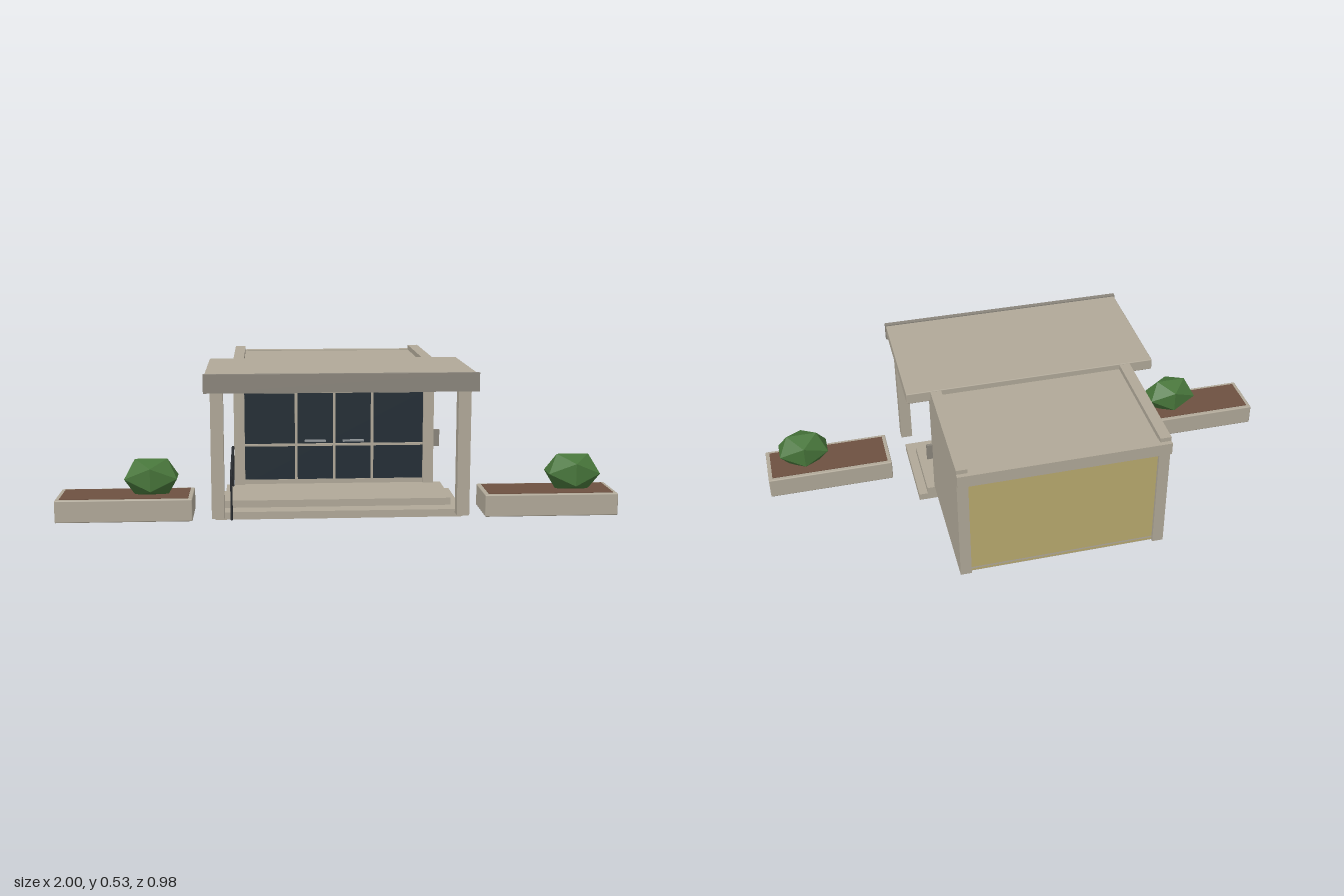
import * as THREE from 'three';
import { RoundedBoxGeometry } from 'three/addons/geometries/RoundedBoxGeometry.js';

const material = (name, color, extra = {}) => {
  const m = new THREE.MeshStandardMaterial({ color, ...extra });
  m.name = name;
  return m;
};

export function createModel() {
  const wall = material('warm stone', 0xb0a898);
  const trim = material('grey trim', 0x8a857b);
  const glass = material('dark glass', 0x222d35);
  const ochre = material('ochre panel', 0xb8a96e);
  const metal = material('dark metal', 0x2a2d31);
  const steel = material('steel', 0x8b9093);
  const soil = material('soil', 0x6d5040);
  const leaf = material('leaf green', 0x47753a, { flatShading: true });

  const model = new THREE.Group();
  model.name = 'pavilion';

  const add = (name, geometry, mat, parent = model) => {
    const mesh = new THREE.Mesh(geometry, mat);
    mesh.name = name;
    parent.add(mesh);
    return mesh;
  };
  // Box given by its limits on each axis; a radius rounds the edges
  const box = (name, [x0, x1], [y0, y1], [z0, z1], mat, parent, radius = 0) => {
    const size = [x1 - x0, y1 - y0, z1 - z0];
    const geometry = radius
      ? new RoundedBoxGeometry(...size, 2, radius)
      : new THREE.BoxGeometry(...size);
    const mesh = add(name, geometry, mat, parent);
    mesh.position.set((x0 + x1) / 2, (y0 + y1) / 2, (z0 + z1) / 2);
    return mesh;
  };
  // Round bar between two points
  const bar = (name, a, b, r, mat, parent) => {
    const from = new THREE.Vector3(...a), to = new THREE.Vector3(...b);
    const dir = to.clone().sub(from);
    const mesh = add(name, new THREE.CylinderGeometry(r, r, dir.length(), 8), mat, parent);
    mesh.position.copy(from).add(to).multiplyScalar(0.5);
    mesh.quaternion.setFromUnitVectors(new THREE.Vector3(0, 1, 0), dir.normalize());
  };

  // Building shell: side walls rise above the roof as parapets
  for (const s of [-1, 1]) {
    const side = s < 0 ? [-0.378, -0.338] : [0.338, 0.378];
    box('sideWall', side, [0.053, 0.527], [-0.472, 0.04], wall);
  }
  box('floor', [-0.338, 0.338], [0.053, 0.07], [-0.46, 0.03], wall);
  box('roof', [-0.338, 0.338], [0.48, 0.508], [-0.472, 0.035], wall);
  box('rearPanel', [-0.338, 0.338], [0.055, 0.48], [-0.46, -0.45], ochre);
  box('rearBeam', [-0.378, 0.378], [0.465, 0.511], [-0.488, -0.45], wall);
  box('frontHeader', [-0.338, 0.338], [0.402, 0.49], [0, 0.038], wall);

  // Glazed front with door handles
  const glazing = new THREE.Group();
  glazing.name = 'glazing';
  model.add(glazing);
  box('glass', [-0.338, 0.338], [0.054, 0.403], [0.02, 0.028], glass, glazing);
  for (const x of [-0.144, 0, 0.144])
    box('mullion', [x - 0.005, x + 0.005], [0.054, 0.403], [0.022, 0.036], wall, glazing);
  box('transom', [-0.338, 0.338], [0.199, 0.208], [0.022, 0.035], wall, glazing);
  for (const x of [-0.072, 0.072])
    box('doorHandle', [x - 0.04, x + 0.04], [0.216, 0.222], [0.028, 0.046], steel, glazing);

  // Wall box beside the entrance
  box('wallBox', [0.378, 0.4], [0.194, 0.258], [0.03, 0.041], trim);

  // Canopy and its posts
  box('canopy', [-0.466, 0.466], [0.488, 0.53], [-0.005, 0.475], wall, model, 0.003);
  box('canopyFascia', [-0.469, 0.469], [0.47, 0.534], [0.472, 0.49], trim);
  for (const x of [-0.426, 0.426])
    box('canopyPost', [x - 0.022, x + 0.022], [0.027, 0.489], [0.408, 0.452], wall);

  // Entrance steps
  box('lowerStep', [-0.44, 0.44], [0, 0.027], [0.03, 0.36], wall);
  box('upperStep', [-0.407, 0.407], [0.027, 0.053], [0.03, 0.295], wall);

  // Handrail on one side only
  const rail = new THREE.Group();
  rail.name = 'handrail';
  model.add(rail);
  const rx = -0.382;
  bar('frontRailPost', [rx, 0, 0.365], [rx, 0.155, 0.365], 0.004, metal, rail);
  bar('rearRailPost', [rx, 0.053, 0.06], [rx, 0.203, 0.06], 0.004, metal, rail);
  bar('railBar', [rx, 0.154, 0.367], [rx, 0.203, 0.058], 0.005, metal, rail);

  // Planters, each with one stretched faceted shrub
  for (const cx of [-0.759, 0.759]) {
    const planter = new THREE.Group();
    planter.name = 'planter';
    planter.position.set(cx, 0, 0.283);
    model.add(planter);
    box('planterBox', [-0.24, 0.24], [0, 0.08], [-0.094, 0.094], wall, planter, 0.004);
    box('planterSoil', [-0.225, 0.225], [0.074, 0.082], [-0.079, 0.079], soil, planter);
    const shrub = add('shrub', new THREE.IcosahedronGeometry(0.078, 0), leaf, planter);
    shrub.scale.x = 1.4;
    shrub.position.set(0.092, 0.142, 0.001);
  }
  return model;
}
